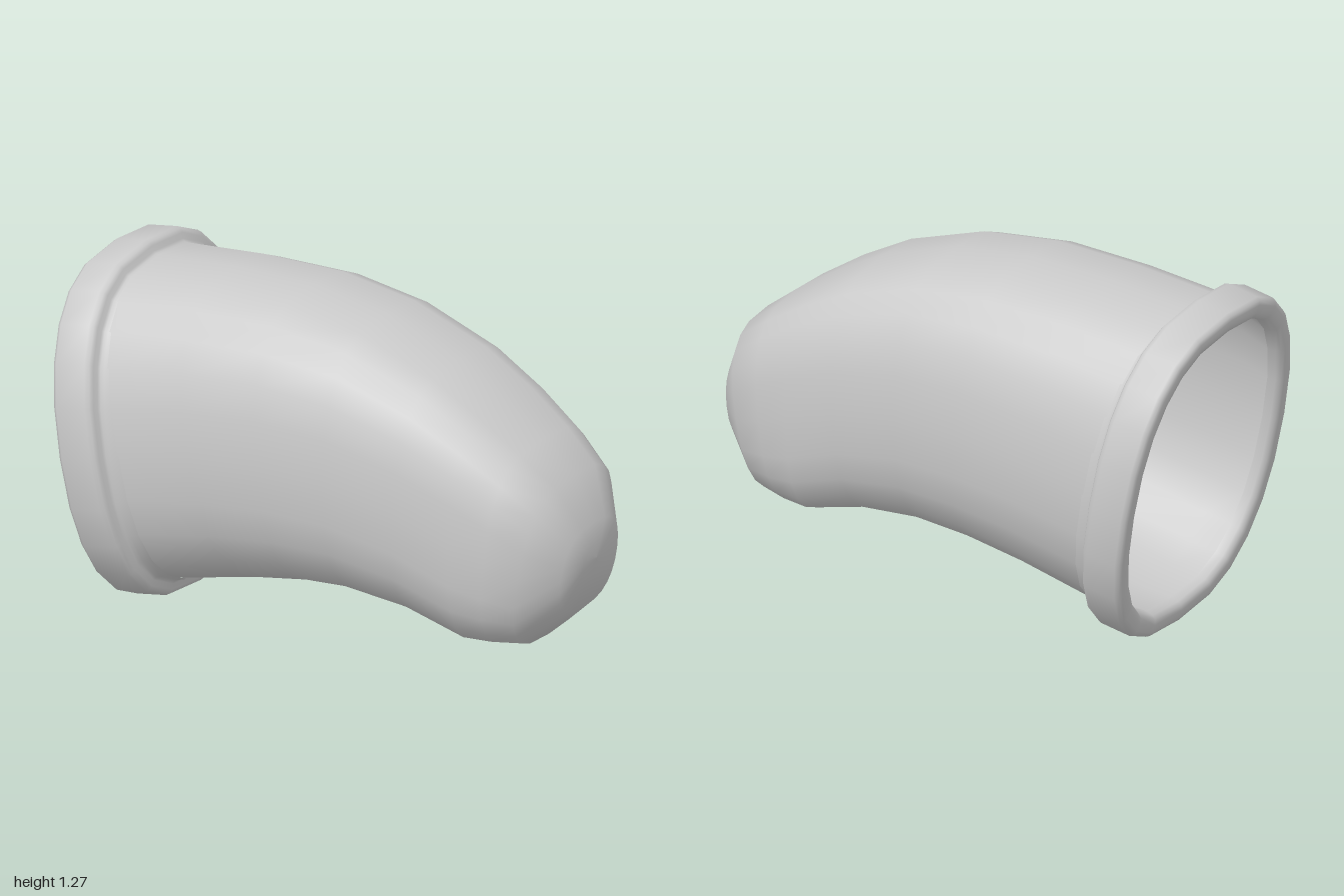
import * as THREE from 'three';
import { toCreasedNormals } from 'three/addons/utils/BufferGeometryUtils.js';

const SIDES = 24;
const material = new THREE.MeshStandardMaterial({ color: 0xcccccc });

const soften = (v, power) => Math.sign(v) * Math.pow(Math.abs(v), power);

// A section is [top x, top y, bottom x, bottom y, half width, squareness].
// Returns its rounded outline, shrunk by inset.
function ring([tx, ty, bx, by, w, power = 0.72], inset = 0) {
  const half = Math.hypot(tx - bx, ty - by) / 2;
  const k = half > 0 ? Math.max(0, half - inset) / half : 0;
  const points = [];
  for (let j = 0; j < SIDES; j++) {
    const a = (j / SIDES) * Math.PI * 2;
    const c = soften(Math.cos(a), power + 0.18) * k;
    points.push(
      (tx + bx) / 2 + c * (tx - bx) / 2,
      (ty + by) / 2 + c * (ty - by) / 2,
      soften(Math.sin(a), power) * Math.max(0, w - inset)
    );
  }
  return points;
}

// Skins a row of rings into a surface
function loft(rings) {
  const index = [];
  for (let i = 0; i < rings.length - 1; i++) {
    for (let j = 0; j < SIDES; j++) {
      const n = (j + 1) % SIDES;
      const a = i * SIDES + j, b = i * SIDES + n;
      index.push(a, b, a + SIDES, b, b + SIDES, a + SIDES);
    }
  }
  const geometry = new THREE.BufferGeometry();
  geometry.setAttribute('position', new THREE.Float32BufferAttribute(rings.flat(), 3));
  geometry.setIndex(index);
  geometry.computeVertexNormals();
  return geometry;
}

function addMesh(group, name, geometry) {
  const mesh = new THREE.Mesh(geometry, material);
  mesh.name = name;
  group.add(mesh);
}

export function createModel() {
  const group = new THREE.Group();
  group.name = 'curvedSleeve';

  // Bent body from the opening to the closed end
  const sections = [
    [-0.90, 1.205, -0.72, 0.06, 0.478],
    [-0.83, 1.22, -0.64, 0.082, 0.475],
    [-0.50, 1.25, -0.30, 0.165, 0.46, 0.7],
    [-0.17, 1.257, -0.08, 0.207, 0.445, 0.67],
    [0.13, 1.217, 0.13, 0.222, 0.42, 0.65],
    [0.43, 1.11, 0.37, 0.203, 0.395, 0.62],
    [0.62, 1.00, 0.60, 0.14, 0.365, 0.58],
    [0.78, 0.89, 0.70, 0.145, 0.335, 0.58],
    [0.91, 0.785, 0.80, 0.155, 0.295, 0.62],
    [0.985, 0.62, 0.943, 0.29, 0.185, 0.7],
    [0.996, 0.54, 0.985, 0.42, 0.08, 0.8],
    [0.997, 0.49, 0.997, 0.49, 0]
  ];
  addMesh(group, 'body', loft(sections.map(s => ring(s))));

  // Tilted cuff with a rounded lip and a small fillet onto the body:
  // [distance along its axis, inset]
  const cuffRing = (t, inset) => {
    const dx = t * 0.985, dy = t * 0.174;
    return ring([-1 + dx, 1.241 + dy, -0.785 + dx, dy - 0.004, 0.53], inset);
  };
  const cuffProfile = [
    [0.05, 0.083], [0.02, 0.078], [0.006, 0.068], [0, 0.05],
    [0, 0.022], [0.006, 0.008], [0.02, 0],
    [0.138, 0], [0.154, 0.006], [0.163, 0.02], [0.166, 0.04],
    [0.173, 0.049], [0.186, 0.053], [0.22, 0.058]
  ];
  const cuff = loft(cuffProfile.map(([t, inset]) => cuffRing(t, inset)));
  addMesh(group, 'cuff', toCreasedNormals(cuff, 0.8));

  // Inner lining, ordered from the closed end so that it faces inward
  const lining = sections.map(s => ring(s, 0.012));
  lining[0] = cuffRing(0.05, 0.083);
  addMesh(group, 'lining', loft(lining.reverse()));

  return group;
}
